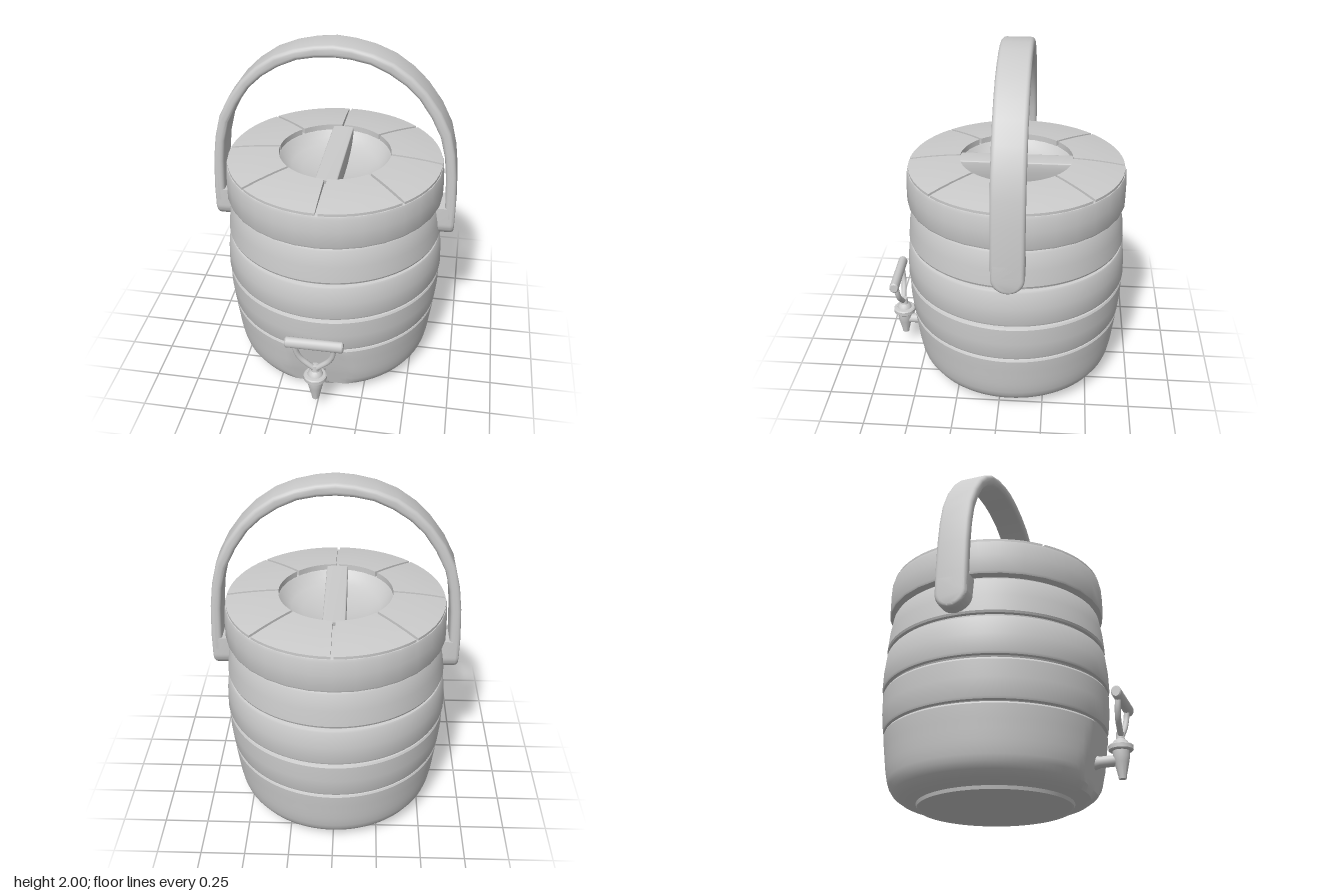
import * as THREE from 'three';
import { toCreasedNormals } from 'three/addons/utils/BufferGeometryUtils.js';

const CZ = -0.063; // depth of the barrel axis
const material = new THREE.MeshStandardMaterial({ color: 0xcccccc, side: THREE.DoubleSide });

function add(parent, name, geometry, x = 0, y = 0, z = 0, crease = 0.6) {
  const mesh = new THREE.Mesh(toCreasedNormals(geometry, crease), material);
  mesh.name = name;
  mesh.position.set(x, y, z);
  parent.add(mesh);
  return mesh;
}

const vectors = (list) => list.map(([x, y]) => new THREE.Vector2(x, y));
const lathe = (list, segments) => new THREE.LatheGeometry(vectors(list), segments);

// Moves every vertex by a rule
function reshape(geometry, rule) {
  const p = geometry.attributes.position;
  const v = new THREE.Vector3();
  for (let i = 0; i < p.count; i++) {
    rule(v.fromBufferAttribute(p, i));
    p.setXYZ(i, v.x, v.y, v.z);
  }
  geometry.computeVertexNormals();
  return geometry;
}

// Extrusion whose rounded edges stay inside the outline and the depth
function roundedExtrude(shape, depth, bevel) {
  return new THREE.ExtrudeGeometry(shape, {
    depth: depth - 2 * bevel, bevelThickness: bevel, bevelSize: bevel,
    bevelOffset: -bevel, bevelSegments: 4, curveSegments: 16,
  }).translate(0, 0, bevel - depth / 2);
}

function buildBarrel(parent) {
  const profile = [
    [0, 0.005], [0.41, 0.005], [0.42, 0], [0.425, 0.018], [0.45, 0.022], [0.51, 0.038],
    [0.55, 0.066], [0.572, 0.1], [0.582, 0.13], [0.59, 0.17], [0.595, 0.2],
    [0.601, 0.25], [0.607, 0.3], [0.612, 0.34], [0.615, 0.375], [0.61, 0.385], [0.595, 0.39],
  ];
  // Stacked hoops: bottom y, bottom radius, top y, top radius
  const hoops = [
    [0.395, 0.62, 0.617, 0.637 - 0.006],
    [0.628, 0.636, 0.85, 0.622],
    [0.862, 0.622, 1.08, 0.597],
  ];
  for (const [y0, r0, y1, r1] of hoops) {
    profile.push([r0 - 0.022, y0], [r0 - 0.005, y0 + 0.003], [r0, y0 + 0.015],
      [(r0 + r1) / 2 + 0.004, (y0 + y1) / 2], [r1, y1 - 0.015],
      [r1 - 0.006, y1 - 0.004], [r1 - 0.022, y1]);
  }
  profile.push([0.575, 1.1]);
  // Flat panel behind the tap
  const barrel = reshape(lathe(profile, 96), (v) => {
    if (v.y > 0.388 || v.y < 0.03) return;
    const limit = 0.5 + (v.y - 0.2) * (v.y > 0.2 ? 0.2 : 0.25) - CZ;
    v.z = Math.min(v.z, limit);
  });
  add(parent, 'barrel', barrel, 0, 0, CZ, 0.45);
}

function buildLid(parent) {
  // Rim, grooved floor and sunken bowl
  add(parent, 'lid', lathe([
    [0.56, 1.09], [0.605, 1.09], [0.617, 1.095], [0.622, 1.107], [0.622, 1.2],
    [0.618, 1.275], [0.613, 1.29], [0.6, 1.294], [0.32, 1.308], [0.312, 1.3],
    [0.29, 1.272], [0.25, 1.247], [0.19, 1.227], [0.1, 1.213], [0, 1.21],
  ], 32), 0, 0, CZ);

  // Eight raised wedges divided by straight grooves
  const wedge = reshape(new THREE.BoxGeometry(1, 1, 1, 8, 1, 4), (v) => {
    const r = 0.463 + v.z * 0.29;
    const half = Math.PI / 8 - Math.asin(0.008 / r);
    const a = v.x * 2 * half + Math.PI / 8;
    const t = v.z + 0.5;
    const y = v.y > 0 ? 1.34 - 0.015 * t - 0.019 * t * t : 1.26;
    v.set(r * Math.sin(a), y, r * Math.cos(a));
  });
  for (let i = 0; i < 8; i++) {
    add(parent, 'lidWedge', wedge, 0, 0, CZ).rotation.y = i * Math.PI / 4;
  }

  // Grip spanning the bowl
  const grip = new THREE.Shape(vectors([
    [-0.32, 1.33], [-0.31, 1.28], [-0.25, 1.23], [-0.1, 1.2],
    [0.1, 1.2], [0.25, 1.23], [0.31, 1.28], [0.32, 1.33],
  ]));
  add(parent, 'lidGrip', roundedExtrude(grip, 0.122, 0.008), 0, 0, CZ).rotation.y = Math.PI / 2;
}

function buildHandle(parent) {
  // Right half of the bail, outside upwards and inside downwards
  const outer = [[0.7, 0.98], [0.7, 1.09], [0.69, 1.27], [0.672, 1.41], [0.64, 1.54],
    [0.58, 1.66], [0.5, 1.77], [0.42, 1.85], [0.32, 1.92], [0.21, 1.965], [0.1, 1.99]];
  const inner = [[0.64, 0.98], [0.64, 1.09], [0.632, 1.26], [0.617, 1.39], [0.587, 1.51],
    [0.53, 1.625], [0.46, 1.728], [0.385, 1.8], [0.295, 1.86], [0.195, 1.905], [0.095, 1.925]];
  const mirror = (list) => list.map(([x, y]) => [-x, y]);
  const outline = [...outer, [0, 2], ...mirror(outer).reverse(),
    ...mirror(inner), [0, 1.932], ...inner.slice().reverse()];
  add(parent, 'bailHandle', roundedExtrude(new THREE.Shape(vectors(outline)), 0.18, 0.022), 0, 0, -0.06);

  // Round-ended mounts on both sides
  const pad = new THREE.Shape();
  pad.moveTo(0.09, 1.07);
  pad.lineTo(-0.09, 1.07);
  pad.lineTo(-0.09, 0.965);
  pad.absarc(0, 0.965, 0.09, Math.PI, 2 * Math.PI);
  for (const side of [-1, 1]) {
    add(parent, 'handleMount', roundedExtrude(pad, 0.13, 0.022), side * 0.635, 0, -0.06)
      .rotation.y = Math.PI / 2;
  }
}

function buildTap(parent) {
  const tap = new THREE.Group();
  tap.name = 'tap';
  parent.add(tap);

  // Feed pipe with a flared root
  add(tap, 'feedPipe', lathe([[0.05, 0], [0.04, 0.03], [0.03, 0.06], [0.03, 0.17]], 16), 0, 0.2, 0.46)
    .rotation.x = Math.PI / 2;

  // Spout, collar and neck
  add(tap, 'spout', lathe([
    [0, 0.1], [0.02, 0.1], [0.023, 0.12], [0.038, 0.185], [0.044, 0.215], [0.044, 0.248],
    [0.06, 0.248], [0.066, 0.254], [0.066, 0.276], [0.06, 0.282], [0.044, 0.284],
    [0.038, 0.3], [0.024, 0.312], [0.02, 0.35], [0, 0.355],
  ], 20), 0, 0, 0.632);

  // Forked lever
  for (const side of [-1, 1]) {
    const path = new THREE.CatmullRomCurve3([
      [0, 0.325, 0.636], [0.035, 0.355, 0.639], [0.08, 0.4, 0.643],
      [0.102, 0.45, 0.649], [0.106, 0.51, 0.655],
    ].map(([x, y, z]) => new THREE.Vector3(side * x, y, z)));
    add(tap, 'leverFork', new THREE.TubeGeometry(path, 16, 0.016, 10), 0, 0, 0, 1);
  }

  // Crossbar, slightly taller than deep
  const bar = lathe([[0, -0.162], [0.027, -0.162], [0.034, -0.155],
    [0.034, 0.155], [0.027, 0.162], [0, 0.162]], 16).rotateZ(Math.PI / 2).scale(1, 1, 0.8);
  add(tap, 'leverBar', bar, 0, 0.521, 0.656);
}

export function createModel() {
  const model = new THREE.Group();
  model.name = 'drinkCooler';
  buildBarrel(model);
  buildLid(model);
  buildHandle(model);
  buildTap(model);
  return model;
}
